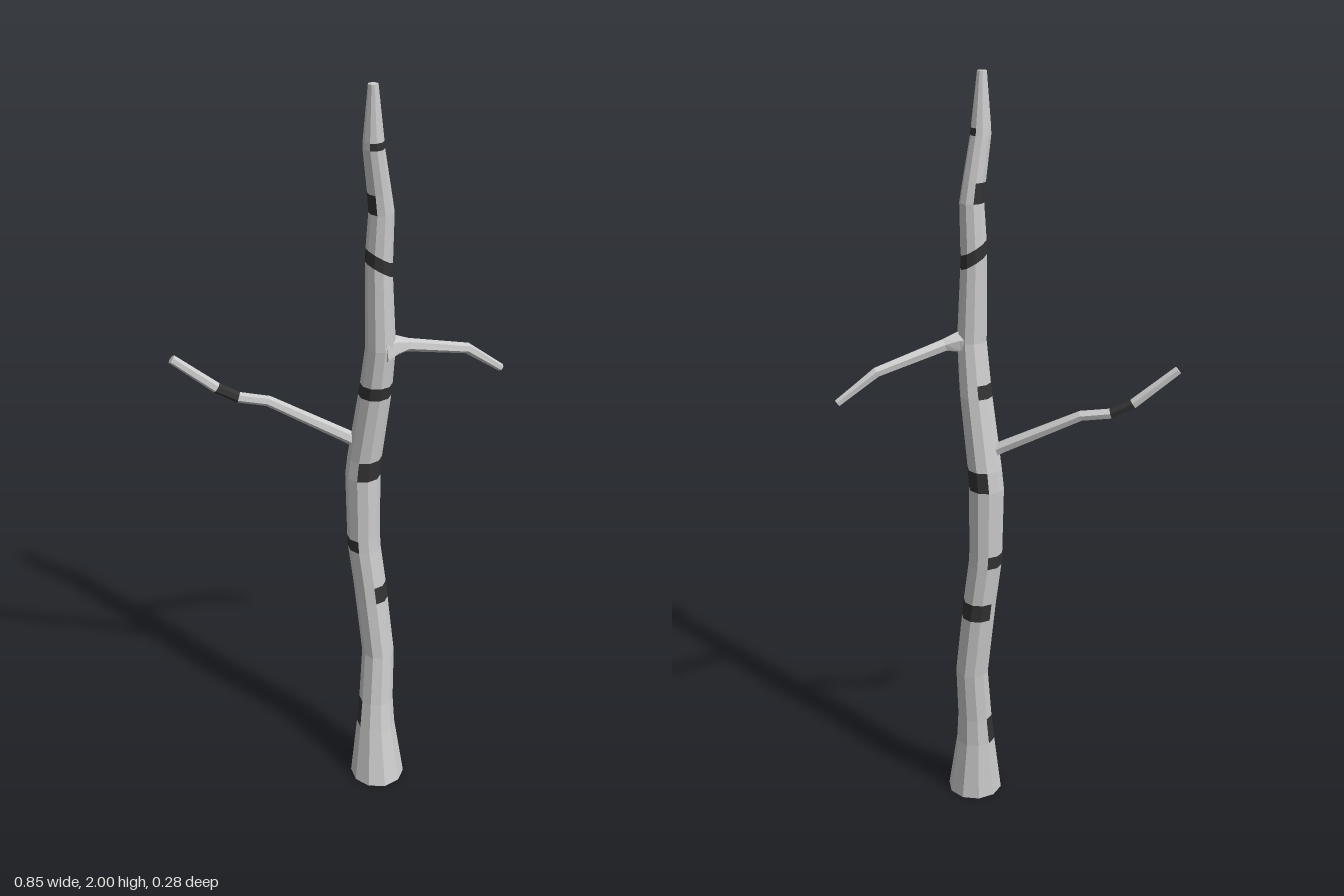
import * as THREE from 'three';

const bark = new THREE.MeshStandardMaterial({ color: 0xcccccc, flatShading: true });
const mark = new THREE.MeshStandardMaterial({ color: 0x333333, flatShading: true });

// A ring of points around a centre, facing along an axis.
function ring(centre, radius, axis, sides, phase) {
  const turn = new THREE.Quaternion().setFromUnitVectors(new THREE.Vector3(0, 1, 0), axis.clone().normalize());
  return Array.from({ length: sides }, (_, j) => {
    const a = phase + (j * Math.PI * 2) / sides;
    return new THREE.Vector3(Math.cos(a) * radius, 0, Math.sin(a) * radius).applyQuaternion(turn).add(centre);
  });
}

// Joins the rings into a capped limb; isMark(i, j) picks the dark faces.
function limb(name, rings, isMark) {
  const light = [], dark = [];
  const n = rings[0].length;
  const tri = (out, ...pts) => pts.forEach((p) => out.push(p.x, p.y, p.z));
  const last = rings[rings.length - 1];
  for (let j = 0; j < n; j++) {
    const k = (j + 1) % n;
    for (let i = 0; i + 1 < rings.length; i++) {
      const out = isMark(i, j) ? dark : light;
      const lo = rings[i], hi = rings[i + 1];
      tri(out, lo[k], lo[j], hi[j]);
      tri(out, lo[k], hi[j], hi[k]);
    }
    if (j > 0 && k > 0) {
      tri(light, rings[0][0], rings[0][j], rings[0][k]);
      tri(light, last[0], last[k], last[j]);
    }
  }
  const group = new THREE.Group();
  group.name = name;
  [[light, bark, 'Bark'], [dark, mark, 'Marks']].forEach(([data, material, suffix]) => {
    if (!data.length) return;
    const geometry = new THREE.BufferGeometry();
    geometry.setAttribute('position', new THREE.Float32BufferAttribute(data, 3));
    geometry.computeVertexNormals();
    const mesh = new THREE.Mesh(geometry, material);
    mesh.name = name + suffix;
    group.add(mesh);
  });
  return group;
}

// Trunk sections: y, x, z, radius.
const TRUNK = [
  [0, 0.072, 0.066, 0.075], [0.17, 0.071, 0.05, 0.053], [0.25, 0.074, 0.042, 0.047],
  [0.4, 0.083, 0.027, 0.044], [0.575, 0.067, 0.013, 0.044], [0.625, 0.062, 0.01, 0.044],
  [0.735, 0.049, 0.002, 0.044], [0.77, 0.047, 0.001, 0.044], [0.955, 0.045, -0.003, 0.046],
  [1.01, 0.049, -0.001, 0.045], [1.2, 0.066, 0.026, 0.042], [1.235, 0.068, 0.032, 0.041],
  [1.34, 0.073, 0.047, 0.038], [1.545, 0.067, 0.046, 0.034], [1.58, 0.067, 0.047, 0.033],
  [1.69, 0.07, 0.051, 0.031], [1.74, 0.063, 0.055, 0.029], [1.85, 0.045, 0.065, 0.026],
  [1.868, 0.044, 0.066, 0.025], [2, 0.04, 0.072, 0.012],
];
// Bark marks: section -> first side and number of sides covered.
const MARKS = { 1: [4, 2], 4: [6, 6], 6: [3, 4], 8: [7, 6], 10: [0, 7], 13: [0, 10], 15: [3, 4], 17: [8, 5] };

function trunk() {
  const sides = 10;
  const rings = TRUNK.map(([y, x, z, r], i) => {
    const points = ring(new THREE.Vector3(x, y, z), r, new THREE.Vector3(0, 1, 0), sides, Math.PI / 10);
    // the mark near the top slants down towards +x
    if (i === 13 || i === 14) points.forEach((p) => { p.y -= 0.6 * (p.x - x); });
    return points;
  });
  return limb('trunk', rings, (i, j) => {
    const m = MARKS[i];
    return !!m && (j - m[0] + sides) % sides < m[1];
  });
}

// Branch path: x, y, z, radius; one section may be dark.
function branch(name, path, darkSection) {
  const pts = path.map(([x, y, z]) => new THREE.Vector3(x, y, z));
  const rings = path.map((p, i) => {
    const before = pts[Math.max(i - 1, 0)], after = pts[Math.min(i + 1, pts.length - 1)];
    return ring(pts[i], p[3], after.clone().sub(before), 6, 0);
  });
  return limb(name, rings, (i) => i === darkSection);
}

export function createModel() {
  const tree = new THREE.Group();
  tree.name = 'bareTree';
  tree.add(
    trunk(),
    branch('leftBranch', [
      [0.075, 1.335, 0.05, 0.042], [0.11, 1.338, 0.046, 0.028], [0.145, 1.333, 0.04, 0.017],
      [0.32, 1.283, 0.002, 0.014], [0.42, 1.21, -0.007, 0.01],
    ], -1),
    branch('rightBranch', [
      [0.04, 1.05, 0.0, 0.018], [0.0, 1.072, -0.013, 0.017], [-0.185, 1.167, -0.077, 0.014],
      [-0.257, 1.177, -0.1, 0.014], [-0.31, 1.205, -0.114, 0.014], [-0.418, 1.293, -0.13, 0.012],
    ], 3),
  );
  return tree;
}
